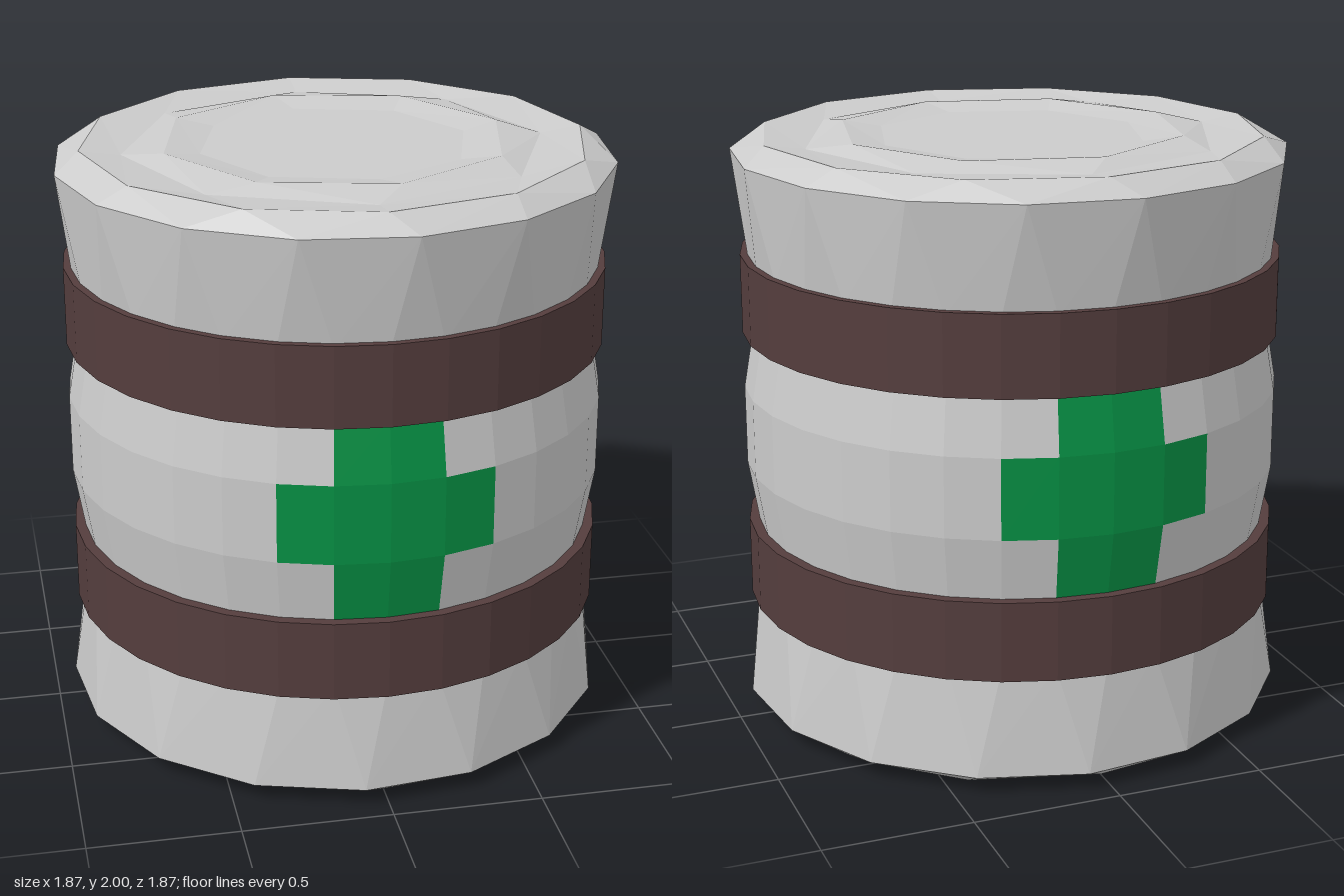
import * as THREE from 'three';

const DEG = Math.PI / 180;
const material = (color) => new THREE.MeshStandardMaterial({ color, flatShading: true });

// A ring of n points: radius r, height y, turned by off degrees
const ring = (n, r, y, off = 0) => ({ n, r, y, off });
const angle = (g, k) => g.off * DEG + (k / g.n) * Math.PI * 2;
const point = (g, k) => new THREE.Vector3(g.r * Math.sin(angle(g, k)), g.y, g.r * Math.cos(angle(g, k)));

// Join two rings, which may differ in their number of sides, with triangles
function stitch(a, b, put) {
  let i = 0, j = 0;
  while (i < a.n || j < b.n) {
    const stepA = j === b.n || (i < a.n && angle(a, i + 0.5) <= angle(b, j + 0.5));
    if (stepA) {
      if (a.r > 0) put(point(a, i), point(a, i + 1), point(b, j));
      i++;
    } else {
      if (b.r > 0) put(point(a, i), point(b, j + 1), point(b, j));
      j++;
    }
  }
}

function meshFrom(name, mat, build) {
  const data = [];
  build((...corners) => corners.forEach((p) => data.push(p.x, p.y, p.z)));
  const geometry = new THREE.BufferGeometry();
  geometry.setAttribute('position', new THREE.Float32BufferAttribute(data, 3));
  geometry.computeVertexNormals();
  const mesh = new THREE.Mesh(geometry, mat);
  mesh.name = name;
  return mesh;
}

export function createModel() {
  const group = new THREE.Group();
  group.name = 'barrel';
  const grey = material(0xcccccc);
  const brown = material(0x543d3d);
  const green = material(0x069044);

  // Flared end with a bevelled rim, and a lid with a groove, a ridge and a shallow dip
  const upper = [
    ring(32, 0.88, 1.34),
    ring(32, 0.887, 1.58),
    ring(16, 0.938, 1.94, 4.8),
    ring(12, 0.848, 1.995),
    ring(8, 0.71, 1.975),
    ring(8, 0.59, 2, 10),
    ring(8, 0.46, 1.98, 7),
    ring(8, 0, 1.98, 7),
  ];
  const lower = upper.map((g) => ring(g.n, g.r, 2 - g.y, -g.off)).reverse();
  for (const [name, rings] of [['upperEnd', upper], ['lowerEnd', lower]]) {
    group.add(meshFrom(name, grey, (put) => {
      for (let k = 0; k + 1 < rings.length; k++) stitch(rings[k], rings[k + 1], put);
    }));
  }

  // Bulging middle wall; the faces of the two crosses are a separate colour
  const wall = [ring(32, 0.88, 0.66), ring(32, 0.915, 0.87), ring(32, 0.915, 1.14), ring(32, 0.88, 1.34)];
  const inCross = (row, k) => {
    const column = (k + 8) % 16 - 8; // repeats on front and back
    const half = row === 1 ? 2 : 1;
    return column >= -half && column < half;
  };
  const wallFaces = (wanted) => (put) => {
    for (let row = 0; row < 3; row++) {
      for (let k = 0; k < 32; k++) {
        if (inCross(row, k) !== wanted) continue;
        const [a, b] = [wall[row], wall[row + 1]];
        put(point(a, k), point(a, k + 1), point(b, k + 1));
        put(point(a, k), point(b, k + 1), point(b, k));
      }
    }
  };
  group.add(meshFrom('middleWall', grey, wallFaces(false)));
  group.add(meshFrom('crosses', green, wallFaces(true)));

  // Two hoops round the barrel
  for (const [name, y] of [['lowerHoop', 0.525], ['upperHoop', 1.465]]) {
    const profile = [[0.86, -0.135], [0.915, -0.135], [0.915, 0.135], [0.86, 0.135]];
    const hoop = new THREE.Mesh(
      new THREE.LatheGeometry(profile.map(([r, h]) => new THREE.Vector2(r, h)), 32), brown);
    hoop.name = name;
    hoop.position.y = y;
    group.add(hoop);
  }
  return group;
}
